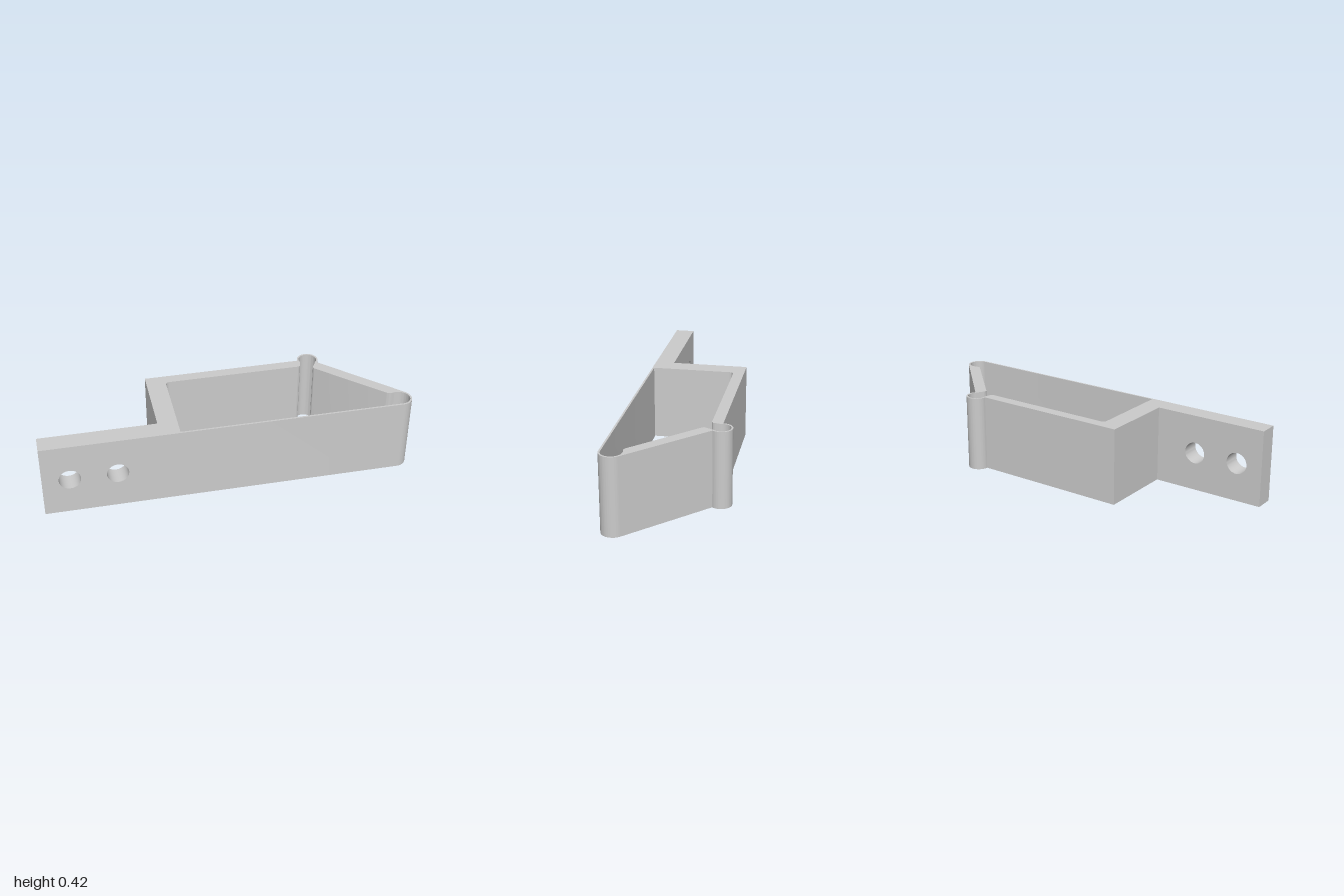
import * as THREE from 'three';
import { toCreasedNormals } from 'three/addons/utils/BufferGeometryUtils.js';

const HEIGHT = 0.418;
const rad = THREE.MathUtils.degToRad;

function extrude(shape, depth) {
  const geometry = new THREE.ExtrudeGeometry(shape, { depth, bevelEnabled: false, curveSegments: 20 });
  return toCreasedNormals(geometry, rad(30));
}

// Plan profile drawn as (x, -z): outer skin with one inner void
function loopProfile() {
  const nose = [0.934, -0.228], hinge = [0.548, 0.234];
  const outer = new THREE.Shape();
  outer.moveTo(-0.375, -0.291);
  outer.lineTo(nose[0], -0.291);
  outer.absarc(...nose, 0.063, rad(-90), rad(45), false);
  outer.absarc(...hinge, 0.058, rad(-40), rad(180), false);
  outer.lineTo(-0.375, 0.234);
  outer.closePath();

  const inner = new THREE.Path();
  inner.moveTo(-0.27, -0.281);
  inner.lineTo(nose[0], -0.281);
  inner.absarc(...nose, 0.053, rad(-90), rad(80), false);
  // rounded lower end of the slanted arm
  inner.quadraticCurveTo(0.925, -0.171, 0.91, -0.176);
  inner.quadraticCurveTo(0.892, -0.182, 0.877, -0.168);
  // slanted arm's inner face and rounded upper end
  inner.lineTo(0.566, 0.135);
  inner.quadraticCurveTo(0.55, 0.15, 0.565, 0.165);
  inner.absarc(...hinge, 0.049, rad(-45), rad(195), false);
  // rounded end of the back arm
  inner.lineTo(0.495, 0.195);
  inner.quadraticCurveTo(0.495, 0.175, 0.473, 0.175);
  inner.lineTo(-0.245, 0.175);
  inner.quadraticCurveTo(-0.27, 0.175, -0.27, 0.15);
  inner.closePath();
  outer.holes.push(inner);
  return outer;
}

// Flat mounting tab with two round screw holes
function tabProfile() {
  const tab = new THREE.Shape();
  tab.moveTo(-1, 0);
  tab.lineTo(-0.375, 0);
  tab.lineTo(-0.375, HEIGHT);
  tab.lineTo(-1, HEIGHT);
  tab.closePath();
  for (const x of [-0.855, -0.605]) {
    tab.holes.push(new THREE.Path().absarc(x, HEIGHT / 2, 0.058, 0, Math.PI * 2, true));
  }
  return tab;
}

export function createModel() {
  const group = new THREE.Group();
  group.name = 'springClip';
  const material = new THREE.MeshStandardMaterial({ color: 0xcccccc });

  const loop = new THREE.Mesh(extrude(loopProfile(), HEIGHT).rotateX(-Math.PI / 2), material);
  loop.name = 'clipLoop';

  const tab = new THREE.Mesh(extrude(tabProfile(), 0.105).translate(0, 0, 0.186), material);
  tab.name = 'mountingTab';

  group.add(loop, tab);
  return group;
}
